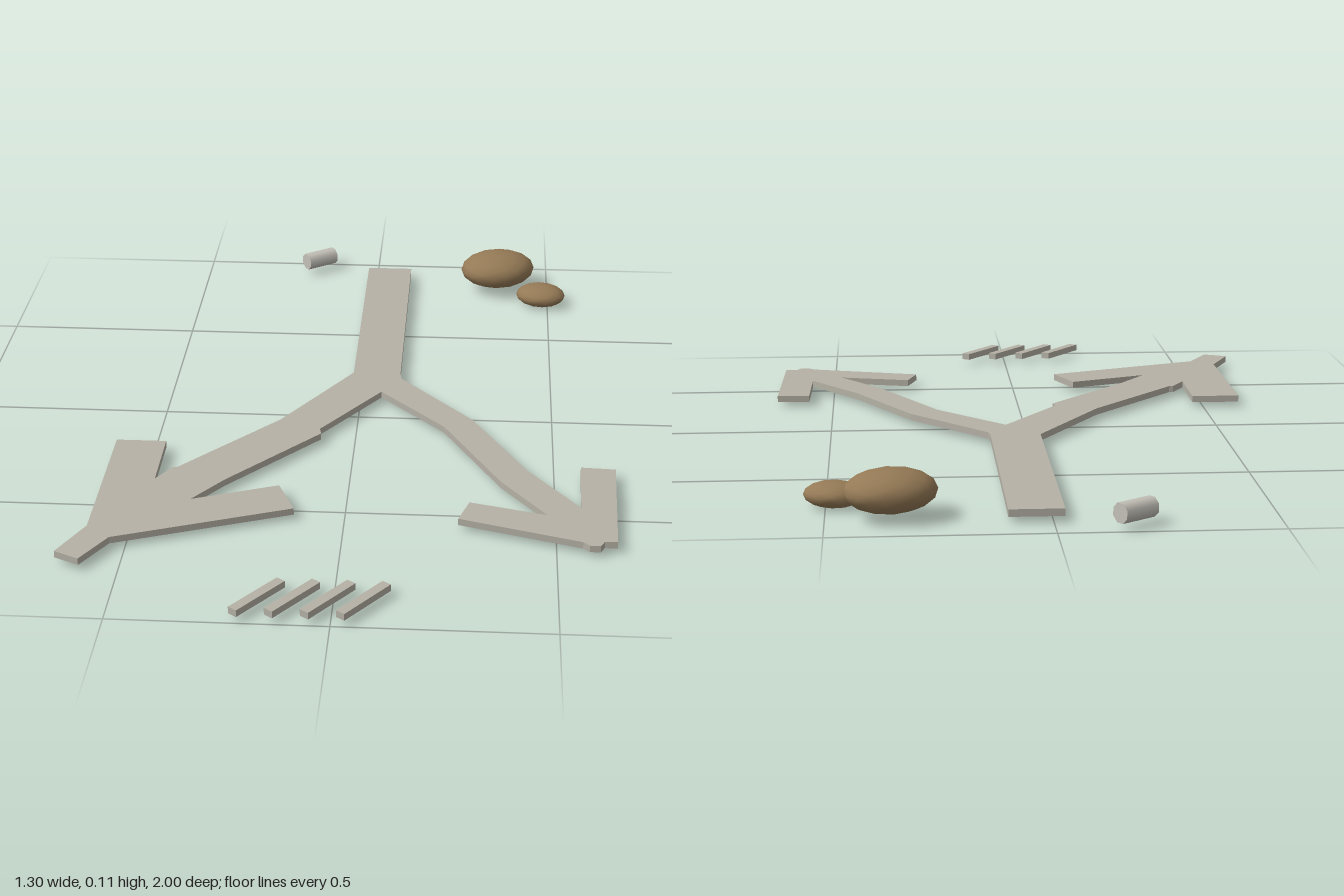
import * as THREE from 'three';

const BOTTOM = 0.014, THICK = 0.017;

// Flat slab from a plan outline of [x, z] points
function slab(name, points, material) {
  const shape = new THREE.Shape(points.map(([x, z]) => new THREE.Vector2(x, -z)));
  const geometry = new THREE.ExtrudeGeometry(shape, { depth: THICK, bevelEnabled: false });
  geometry.rotateX(-Math.PI / 2);
  const mesh = new THREE.Mesh(geometry, material);
  mesh.name = name;
  mesh.position.y = BOTTOM;
  return mesh;
}

// Rounded pebble with smooth normals
function stone(name, position, radii, turn, material) {
  const mesh = new THREE.Mesh(new THREE.IcosahedronGeometry(1, 2), material);
  mesh.name = name;
  mesh.position.set(...position);
  mesh.scale.set(...radii);
  mesh.rotation.y = turn;
  return mesh;
}

export function createModel() {
  const model = new THREE.Group();
  model.name = 'forkedArrowMarker';

  const grey = new THREE.MeshStandardMaterial({ color: 0xb5b1a6 });
  grey.name = 'warm grey';
  const paleGrey = new THREE.MeshStandardMaterial({ color: 0xc4c1b8 });
  paleGrey.name = 'pale grey';
  const brown = new THREE.MeshStandardMaterial({ color: 0x957a56 });
  brown.name = 'stone brown';

  // Stem that forks into two bent arrows
  model.add(slab('forkedArrow', [
    // stem, left edge
    [0.10, -0.91], [-0.025, -0.91], [-0.025, -0.20],
    // large arrow
    [-0.195, 0.085], [-0.425, 0.355], [-0.435, 0.355], [-0.47, 0.415],
    [-0.47, 0.22], [-0.595, 0.22], [-0.595, 0.65],
    [-0.65, 0.77], [-0.59, 0.80], [-0.535, 0.70],
    [-0.12, 0.54], [-0.165, 0.43], [-0.37, 0.51],
    [-0.30, 0.41], [-0.085, 0.155], [-0.09, 0.13],
    // crotch of the fork
    [0.055, -0.09],
    // small arrow
    [0.225, 0.10], [0.37, 0.38], [0.48, 0.535],
    [0.295, 0.485], [0.27, 0.565], [0.56, 0.655], [0.575, 0.67],
    [0.60, 0.67], [0.61, 0.65], [0.64, 0.65],
    [0.65, 0.30], [0.565, 0.295], [0.56, 0.495],
    [0.435, 0.32], [0.295, 0.055], [0.105, -0.17], [0.10, -0.20],
  ], grey));

  // Row of slanted tally strips
  const strips = new THREE.Group();
  strips.name = 'tallyStrips';
  for (let i = 0; i < 4; i++) {
    const strip = new THREE.Mesh(new THREE.BoxGeometry(0.024, THICK, 0.16), grey);
    strip.name = 'tallyStrip';
    strip.position.set(-0.168 + i * 0.079, BOTTOM + THICK / 2, 0.924);
    strip.rotation.y = -Math.atan2(0.098, 0.132);
    strips.add(strip);
  }
  model.add(strips);

  // Short rod lying on its side
  const rodGeometry = new THREE.CylinderGeometry(0.024, 0.024, 0.094, 8);
  rodGeometry.rotateY(Math.PI / 8);
  rodGeometry.rotateZ(Math.PI / 2);
  const rod = new THREE.Mesh(rodGeometry, paleGrey);
  rod.name = 'rod';
  rod.position.set(-0.174, 0.038, -0.956);
  rod.rotation.y = Math.atan2(0.057, 0.078);
  model.add(rod);

  // Two pebbles
  model.add(stone('largeStone', [0.355, 0.064, -0.853], [0.107, 0.05, 0.088], 0.3, brown));
  model.add(stone('smallStone', [0.48, 0.03, -0.747], [0.07, 0.03, 0.058], -0.2, brown));

  return model;
}
